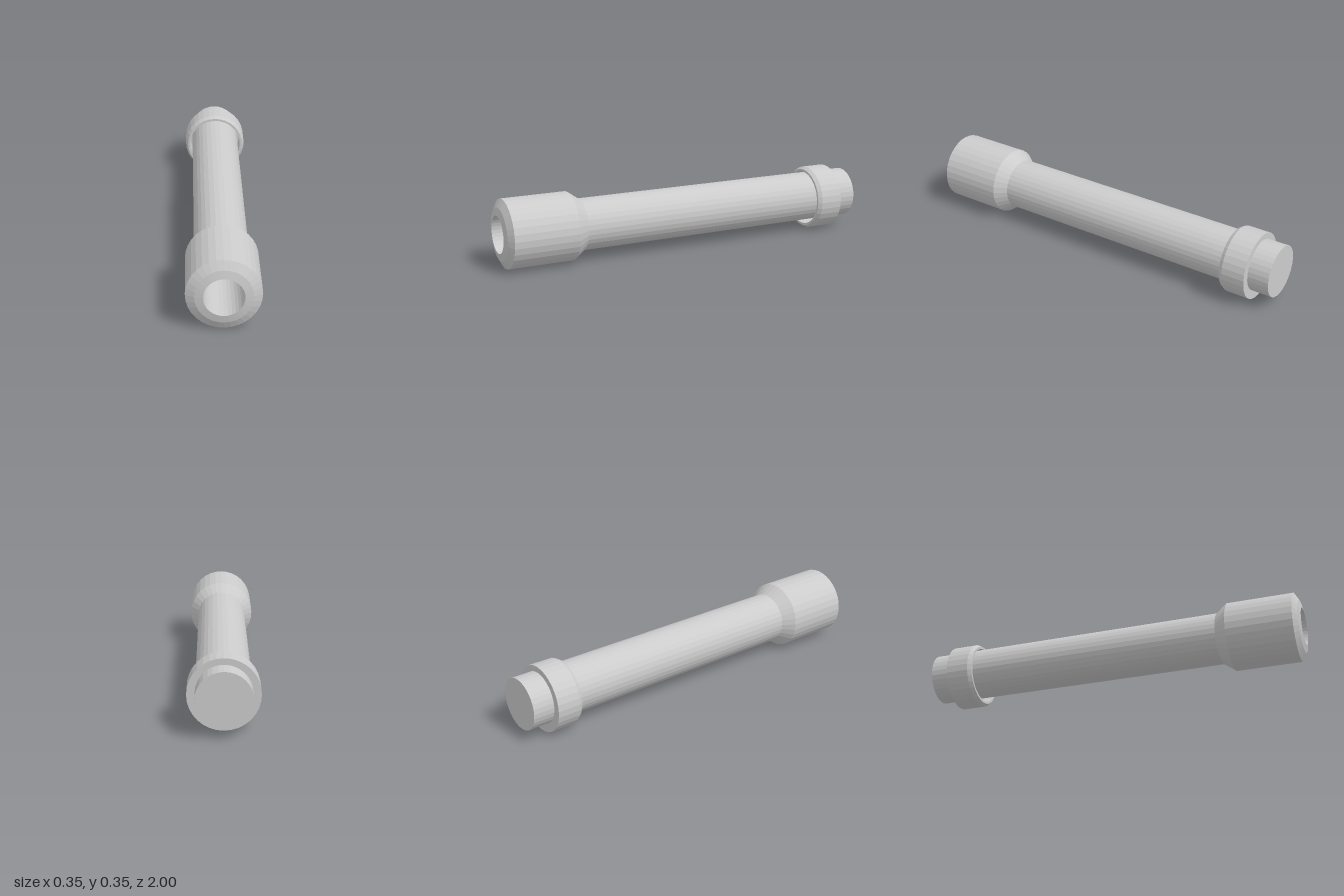
import * as THREE from 'three';

const SIDES = 32;

export function createModel() {
  const group = new THREE.Group();
  const material = new THREE.MeshStandardMaterial({ color: 0xcccccc, flatShading: true });

  // Turned part along z; profile holds [radius, z] pairs from back to front
  function turned(name, profile, centreY) {
    const points = profile.map(([r, z]) => new THREE.Vector2(r, z));
    const geometry = new THREE.LatheGeometry(points, SIDES).rotateX(Math.PI / 2);
    const mesh = new THREE.Mesh(geometry, material);
    mesh.name = name;
    mesh.position.y = centreY;
    group.add(mesh);
  }

  // Long plain shaft with a flat back end
  turned('shaft', [[0, -1], [0.131, -1], [0.131, 0.58], [0, 0.58]], 0.178);

  // Head: conical shoulder, straight body, rounded lip and blind bore
  turned('head', [
    [0.125, 0.575], [0.131, 0.575], [0.174, 0.635], [0.174, 0.97],
    [0.133, 0.992], [0.094, 1], [0.094, 0.6], [0, 0.6],
  ], 0.178);

  // Collar near the back, chamfered at the front with a loose inner bore
  turned('collar', [
    [0.12, -0.89], [0.169, -0.89], [0.169, -0.77], [0.157, -0.75],
    [0.145, -0.75], [0.145, -0.87], [0.12, -0.87],
  ], 0.17);

  return group;
}
